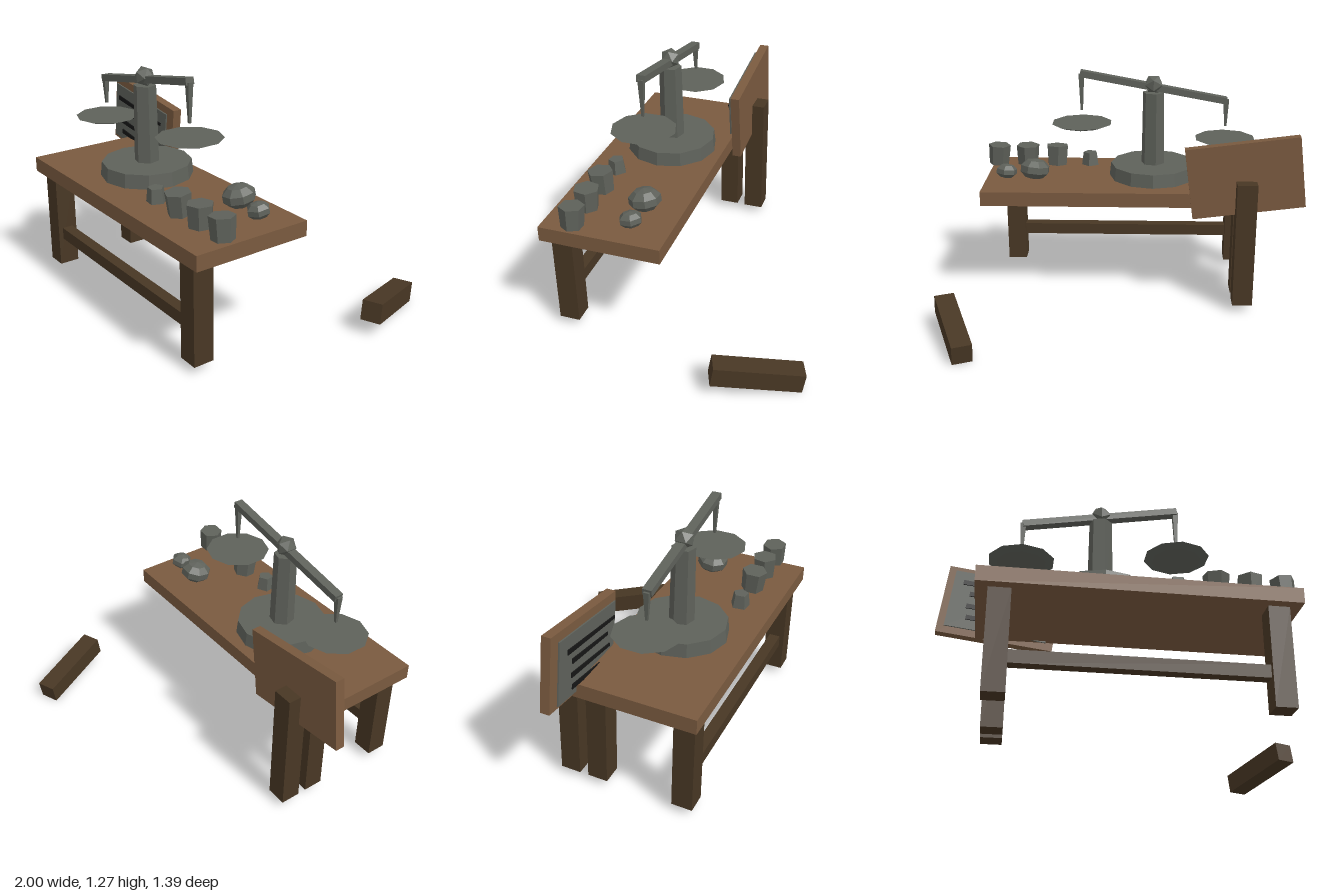
import * as THREE from 'three';

export function createModel() {
  const model = new THREE.Group();
  model.name = 'weighingTable';

  const material = (name, color) => {
    const m = new THREE.MeshStandardMaterial({ color, flatShading: true });
    m.name = name;
    return m;
  };
  const wood = material('warmWood', 0x7a5a3f);
  const darkWood = material('darkWood', 0x483724);
  const metal = material('greyMetal', 0x5e615a);
  const black = material('blackMark', 0x161616);

  const add = (name, geometry, mat, x, y, z, parent = model) => {
    const mesh = new THREE.Mesh(geometry, mat);
    mesh.name = name;
    mesh.position.set(x, y, z);
    parent.add(mesh);
    return mesh;
  };
  const box = (name, mat, [x0, x1], [y0, y1], [z0, z1]) =>
    add(name, new THREE.BoxGeometry(x1 - x0, y1 - y0, z1 - z0), mat,
      (x0 + x1) / 2, (y0 + y1) / 2, (z0 + z1) / 2);

  // Table with three standing legs
  box('tableTop', wood, [-0.79, 0.78], [0.575, 0.655], [0.05, 0.69]);
  box('frontRightLeg', darkWood, [-0.73, -0.62], [0.045, 0.563], [0.55, 0.66]);
  box('frontLeftLeg', darkWood, [0.605, 0.713], [0.045, 0.563], [0.55, 0.66]);
  box('backRightLeg', darkWood, [-0.73, -0.62], [0.045, 0.563], [0.085, 0.193]);
  box('stretcher', darkWood, [-0.62, 0.605], [0.198, 0.264], [0.575, 0.635]);

  // Fourth leg, broken off and lying behind the table
  const fallen = add('fallenLeg', new THREE.BoxGeometry(0.105, 0.105, 0.455), darkWood, 0.858, 0.095, -0.463);
  fallen.lookAt(0.858 + 0.17, 0.095 + 0.078, -0.463 + 0.41);

  // Tilted notice board on a post
  box('boardPost', darkWood, [-0.73, -0.62], [0.043, 0.748], [-0.07, 0.038]);
  const board = new THREE.Group();
  board.name = 'noticeBoard';
  board.position.set(-0.67, 0.763, 0);
  board.rotation.z = -0.127;
  model.add(board);
  add('boardBack', new THREE.BoxGeometry(0.615, 0.395, 0.05), wood, 0, 0, 0.025, board);
  add('slate', new THREE.BoxGeometry(0.535, 0.33, 0.008), metal, 0, 0, 0.069, board);

  // Scratch marks: thin tapered slivers, [length, x, y]
  const marks = [[0.45, 0.01, 0.095], [0.34, 0, 0.032], [0.37, 0.01, -0.04], [0.37, 0.02, -0.105]];
  for (const [length, x, y] of marks) {
    const s = new THREE.Shape([
      new THREE.Vector2(-length / 2, -0.013), new THREE.Vector2(length / 2, -0.009),
      new THREE.Vector2(length / 2, 0.007), new THREE.Vector2(-length / 2, 0.013),
    ]);
    add('scratchMark', new THREE.ExtrudeGeometry(s, { depth: 0.006, bevelEnabled: false }), black, x, y, 0.083, board);
  }

  // Balance scale: base, column, pivot and tilted beam
  const cx = -0.172, cz = 0.337;
  add('scaleBase', new THREE.CylinderGeometry(0.238, 0.246, 0.075, 12), metal, cx, 0.707, cz);
  add('scaleColumn', new THREE.CylinderGeometry(0.06, 0.066, 0.42, 6), metal, cx, 0.945, cz).rotation.y = 0.26;
  add('pivotKnob', new THREE.IcosahedronGeometry(0.055, 0), metal, cx, 1.2, cz);
  add('beam', new THREE.BoxGeometry(0.83, 0.036, 0.048), metal, cx, 1.185, cz).rotation.z = 0.183;

  // Hangers and pans on both ends: [x, hanger top, hanger bottom, pan height]
  for (const [side, x, top, bottom, pan] of [['right', -0.578, 1.115, 0.965, 0.885], ['left', 0.23, 1.255, 1.05, 0.97]]) {
    add(side + 'Hanger', new THREE.CylinderGeometry(0.021, 0.009, top - bottom, 4), metal,
      x, (top + bottom) / 2, cz).rotation.y = Math.PI / 4;
    add(side + 'Pan', new THREE.CylinderGeometry(0.172, 0.13, 0.016, 10), metal, x, pan, cz);
  }

  // Row of faceted weights: [x, radius, height, tilt]
  const weights = [[0.195, 0.052, 0.075, 0], [0.392, 0.068, 0.115, 0.05], [0.567, 0.068, 0.115, -0.05], [0.738, 0.065, 0.115, -0.09]];
  weights.forEach(([x, r, h, tilt], i) => {
    const w = add('weight', new THREE.CylinderGeometry(i ? r : r * 0.8, i ? r * 0.88 : r, h, i ? 6 : 5), metal,
      x, 0.673 + h / 2, 0.517);
    w.rotation.set(0.04, 0.5 + i * 0.7, tilt);
  });

  // Rough stones behind the weights
  for (const [x, z, r, h, n] of [[0.493, 0.235, 0.087, 0.06, 8], [0.655, 0.245, 0.062, 0.042, 6]]) {
    const stone = add('stone', new THREE.SphereGeometry(1, n, 5), metal, x, 0.673 + h, z);
    stone.scale.set(r, h, r);
    stone.rotation.set(0.1, 0.4, 0.12);
  }

  return model;
}
